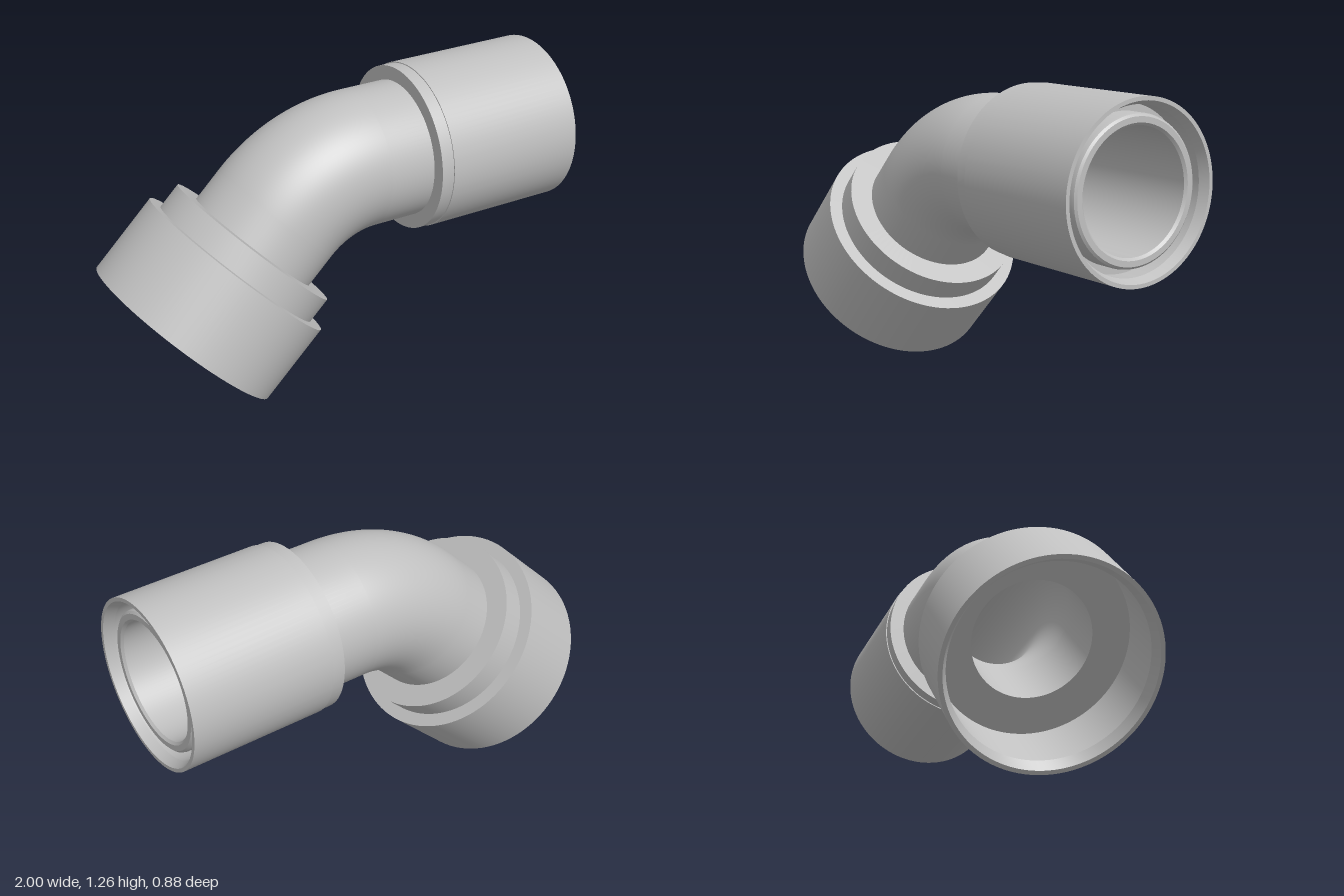
import * as THREE from 'three';
import { toCreasedNormals } from 'three/addons/utils/BufferGeometryUtils.js';

const SIDES = 96;
const PIPE_R = 0.29, BORE_R = 0.245, BEND_R = 0.54;
const BEND_X = 0.13, BEND_Y = 0.37;

export function createModel() {
  const grey = new THREE.MeshStandardMaterial({ color: 0xc0c0c0, side: THREE.DoubleSide });
  const fitting = new THREE.Group();
  fitting.name = 'pipeElbow';

  // Turned part: profile of [radius, distance along the axis]
  const turned = (name, profile, parent) => {
    const points = profile.map(([r, t]) => new THREE.Vector2(r, t));
    const geometry = toCreasedNormals(new THREE.LatheGeometry(points, SIDES), 0.3);
    const mesh = new THREE.Mesh(geometry, grey);
    mesh.name = name;
    parent.add(mesh);
  };

  // One arm leaving the bend at the given angle around its centre
  const arm = (name, angle, turn) => {
    const group = new THREE.Group();
    group.name = name;
    group.position.set(BEND_X + BEND_R * Math.cos(angle), BEND_Y + BEND_R * Math.sin(angle), 0);
    group.rotation.z = turn;
    fitting.add(group);
    return group;
  };

  // 45 degree bend: outer wall and bore
  for (const [name, radius] of [['bendWall', PIPE_R], ['bendBore', BORE_R]]) {
    const bend = new THREE.Mesh(new THREE.TorusGeometry(BEND_R, radius, SIDES, 32, Math.PI / 4), grey);
    bend.name = name;
    bend.position.set(BEND_X, BEND_Y, 0);
    bend.rotation.z = Math.PI / 2;
    fitting.add(bend);
  }

  // Straight arm: pipe with softened lip inside a larger sleeve
  const straight = arm('straightArm', Math.PI / 2, -Math.PI / 2);
  turned('innerPipe', [
    [PIPE_R, 0], [PIPE_R, 0.82], [0.287, 0.832], [0.278, 0.84],
    [0.255, 0.84], [BORE_R, 0.83], [BORE_R, 0],
  ], straight);
  turned('sleeve', [
    [PIPE_R, 0.2], [0.35, 0.2], [0.35, 0.255], [0.354, 0.255], [0.354, 0.87],
    [0.338, 0.87], [0.321, 0.83], [0.321, 0.75], [PIPE_R, 0.75],
  ], straight);

  // Sloping arm: neck, stepped collar and open socket
  const sloping = arm('slopingArm', Math.PI * 0.75, Math.PI * 0.75);
  turned('neck', [[PIPE_R, 0], [PIPE_R, 0.149]], sloping);
  turned('collar', [[PIPE_R, 0.149], [0.385, 0.149], [0.385, 0.262]], sloping);
  turned('socket', [
    [0.385, 0.262], [0.44, 0.262], [0.44, 0.616], [0.422, 0.616],
    [0.4, 0.57], [0.4, 0.316], [BORE_R, 0.316], [BORE_R, 0],
  ], sloping);

  return fitting;
}
